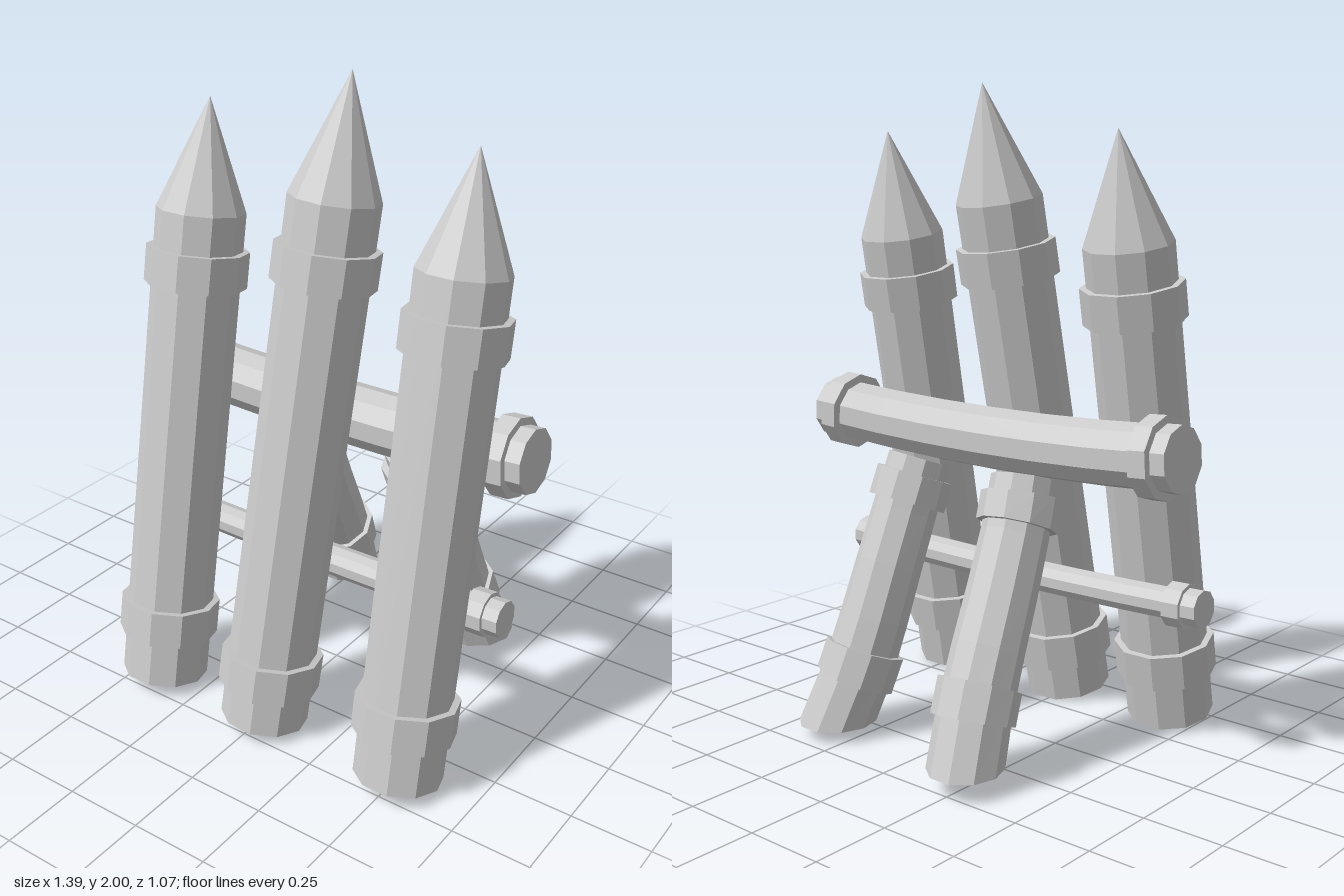
import * as THREE from 'three';

const SIDES = 10;
const V = (x, y, z) => new THREE.Vector3(x, y, z);
const material = new THREE.MeshStandardMaterial({ color: 0xcccccc, flatShading: true, side: THREE.DoubleSide });

// Ten-sided log following a curve between t0 and t1; a corner points along ref.
// cutY trims the first ring level with the ground.
function log(name, curve, t0, t1, r0, r1, ref, segments = 1, cutY = null) {
  let geo = new THREE.CylinderGeometry(1, 1, 1, SIDES, segments);
  geo.rotateY(Math.PI / SIDES);
  const pos = geo.attributes.position;
  for (let i = 0; i < pos.count; i++) {
    const k = pos.getY(i) + 0.5;
    const t = THREE.MathUtils.lerp(t0, t1, k);
    const r = THREE.MathUtils.lerp(r0, r1, k);
    const tangent = curve.getTangentAt(t);
    const u = ref.clone().addScaledVector(tangent, -ref.dot(tangent)).normalize();
    const v = u.clone().cross(tangent);
    const p = curve.getPointAt(t)
      .addScaledVector(u, pos.getX(i) * r)
      .addScaledVector(v, pos.getZ(i) * r);
    if (cutY !== null && k < 1e-6) p.addScaledVector(tangent, (cutY - p.y) / tangent.y);
    pos.setXYZ(i, p.x, p.y, p.z);
  }
  geo = geo.toNonIndexed();
  geo.computeVertexNormals();
  const mesh = new THREE.Mesh(geo, material);
  mesh.name = name;
  return mesh;
}

// Leaning pointed stake with two collars; heights are given as y values
function stake(name, base, tip, coneY, collars) {
  const g = new THREE.Group();
  g.name = name;
  const axis = new THREE.LineCurve3(base, tip);
  const ref = V(1, 0, 0);
  const at = y => (y - base.y) / (tip.y - base.y);
  g.add(log('stakeShaft', axis, 0, at(coneY), 0.136, 0.136, ref));
  g.add(log('stakePoint', axis, at(coneY), 1, 0.136, 0.0005, ref));
  for (const y of collars) g.add(log('stakeCollar', axis, at(y), at(y + 0.11), 0.157, 0.157, ref));
  return g;
}

// Slightly sagging crossbar with a collar near each end
function crossbar(name, y, z, sag, r, endR, collarR) {
  const g = new THREE.Group();
  g.name = name;
  const curve = new THREE.CatmullRomCurve3([
    V(-0.69, y, z), V(-0.35, y - sag * 0.75, z), V(0, y - sag, z), V(0.35, y - sag * 0.75, z), V(0.69, y, z),
  ]);
  const ref = V(0, 1, 0);
  g.add(log('barShaft', curve, 0.05, 0.95, r, r, ref, 6));
  for (const [a, b, c, d] of [[0, 0.05, 0.035, 0.078], [0.95, 1, 0.922, 0.965]]) {
    g.add(log('barEnd', curve, a, b, endR, endR, ref));
    g.add(log('barCollar', curve, c, d, collarR, collarR, ref));
  }
  return g;
}

// Bent rear prop, cut level at the foot
function prop(name, points) {
  const g = new THREE.Group();
  g.name = name;
  const curve = new THREE.CatmullRomCurve3(points);
  const ref = V(1, 0, 0);
  g.add(log('propShaft', curve, 0, 1, 0.113, 0.1, ref, 5, points[0].y));
  g.add(log('propLowerCollar', curve, 0.16, 0.28, 0.125, 0.125, ref));
  g.add(log('propUpperCollar', curve, 0.83, 0.94, 0.123, 0.123, ref));
  return g;
}

export function createModel() {
  const model = new THREE.Group();
  model.name = 'stakeBarricade';

  // Three pointed stakes
  for (const [name, x] of [['rightStake', -0.4], ['leftStake', 0.51]]) {
    model.add(stake(name, V(x, 0.03, 0.41), V(x, 1.86, 0.075), 1.53, [0.175, 1.305]));
  }
  model.add(stake('middleStake', V(0.01, 0.025, 0.41), V(0.093, 2, 0.058), 1.65, [0.14, 1.405]));

  // Crossbars
  model.add(crossbar('upperCrossbar', 0.952, 0, 0.025, 0.097, 0.1, 0.124));
  model.add(crossbar('lowerCrossbar', 0.488, 0.13, 0.013, 0.049, 0.057, 0.069));

  // Rear props
  model.add(prop('rightProp', [
    V(-0.25, 0.06, -0.42), V(-0.235, 0.25, -0.35), V(-0.215, 0.5, -0.225), V(-0.19, 0.745, -0.105), V(-0.18, 0.84, -0.07),
  ]));
  model.add(prop('leftProp', [
    V(0.33, 0.04, -0.365), V(0.295, 0.21, -0.3), V(0.272, 0.5, -0.195), V(0.258, 0.745, -0.1), V(0.25, 0.84, -0.065),
  ]));

  return model;
}
